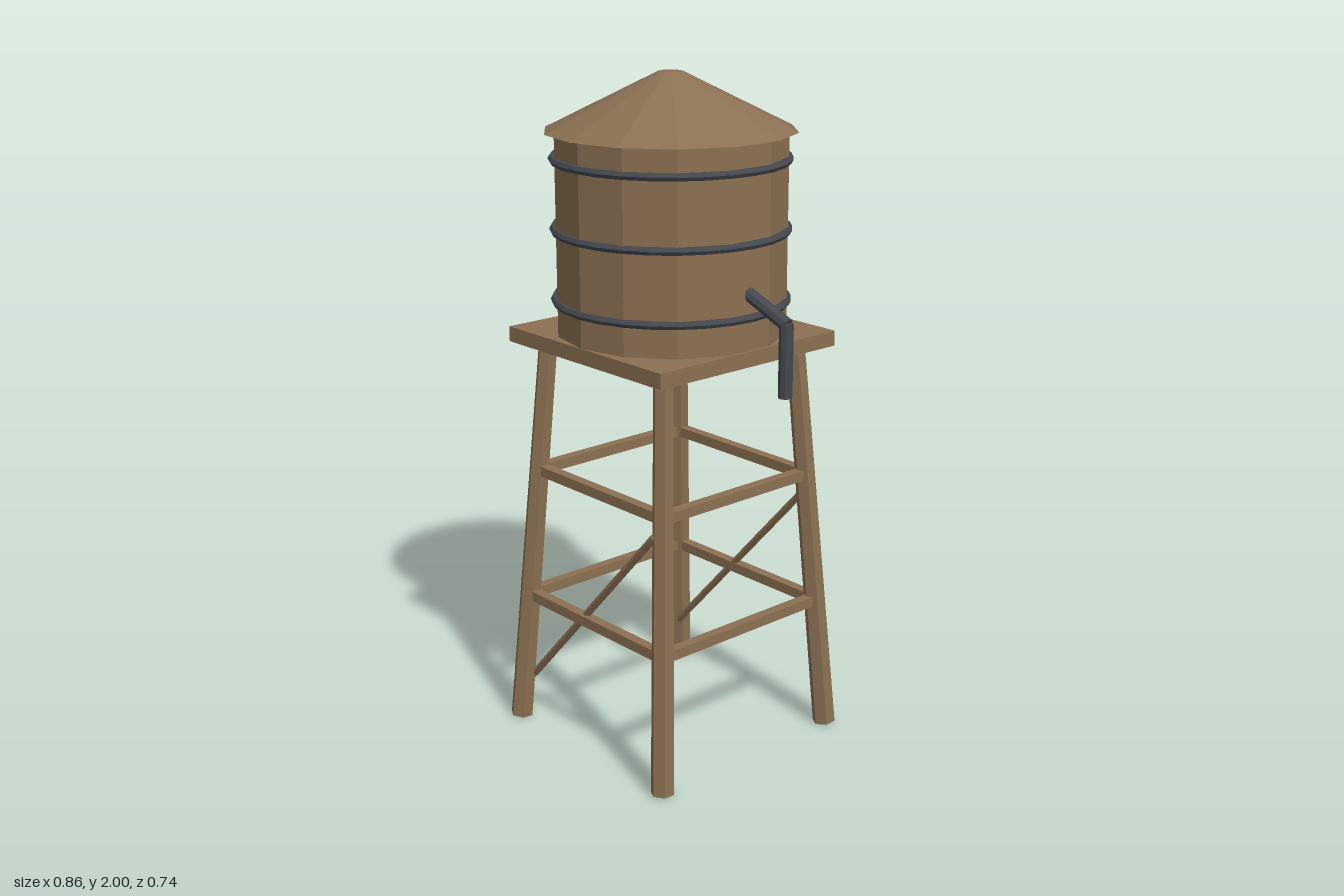
import * as THREE from 'three';

export function createModel() {
  const wood = new THREE.MeshStandardMaterial({ color: 0x8b7152, flatShading: true });
  wood.name = 'weathered wood';
  const metal = new THREE.MeshStandardMaterial({ color: 0x45494e, flatShading: true });
  metal.name = 'dark metal';

  const model = new THREE.Group();
  model.name = 'waterTower';
  const tower = new THREE.Group();
  tower.name = 'tower';
  tower.position.x = -0.065;
  model.add(tower);

  const add = (name, geometry, material, x = 0, y = 0, z = 0) => {
    const mesh = new THREE.Mesh(geometry, material);
    mesh.name = name;
    mesh.position.set(x, y, z);
    tower.add(mesh);
    return mesh;
  };

  // A round bar running from point a to point b
  const bar = (name, a, b, rStart, rEnd, sides, material, turn = 0) => {
    const from = new THREE.Vector3(...a);
    const dir = new THREE.Vector3(...b).sub(from);
    const geometry = new THREE.CylinderGeometry(rEnd, rStart, dir.length(), sides);
    geometry.rotateY(turn);
    const mesh = add(name, geometry, material);
    mesh.position.copy(from).addScaledVector(dir, 0.5);
    mesh.quaternion.setFromUnitVectors(new THREE.Vector3(0, 1, 0), dir.normalize());
    return mesh;
  };

  // Four splayed legs
  const legOffset = (y) => 0.335 - 0.08 * y / 1.215;
  for (const sx of [-1, 1]) {
    for (const sz of [-1, 1]) {
      const foot = legOffset(0), top = legOffset(1.215);
      bar('leg', [sx * foot, 0.003, sz * foot], [sx * top, 1.225, sz * top], 0.035, 0.029, 6, wood);
    }
  }

  // Two levels of horizontal rails
  for (const y of [0.415, 0.82]) {
    const d = legOffset(y);
    for (const s of [-1, 1]) {
      add('rail', new THREE.BoxGeometry(2 * d, 0.031, 0.031), wood, 0, y, s * d);
      add('rail', new THREE.BoxGeometry(0.031, 0.031, 2 * d), wood, s * d, y, 0);
    }
  }

  // Diagonal braces on the front and the back
  for (const s of [-1, 1]) {
    bar('diagonalBrace', [-0.305, 0.14, s * 0.303], [0.27, 0.765, s * 0.303], 0.012, 0.012, 5, wood);
  }

  // Platform, tank and conical roof
  add('platform', new THREE.BoxGeometry(0.672, 0.045, 0.672), wood, 0, 1.237, 0);
  add('tank', new THREE.CylinderGeometry(0.336, 0.336, 0.58, 14), wood, 0, 1.549, 0);
  add('roof', new THREE.CylinderGeometry(0.035, 0.363, 0.163, 14), wood, 0, 1.9185, 0);

  // Hoops around the tank
  for (const y of [1.355, 1.56, 1.76]) {
    const hoop = new THREE.TorusGeometry(0.336, 0.012, 6, 28).rotateX(Math.PI / 2);
    add('hoop', hoop, metal, 0, y, 0);
  }

  // Spout: a sloping pipe and a drop pipe
  bar('spoutArm', [0.30, 1.43, 0], [0.474, 1.36, 0], 0.02, 0.02, 8, metal);
  bar('spoutDrop', [0.47, 1.155, 0], [0.47, 1.365, 0], 0.02, 0.02, 8, metal);

  return model;
}
